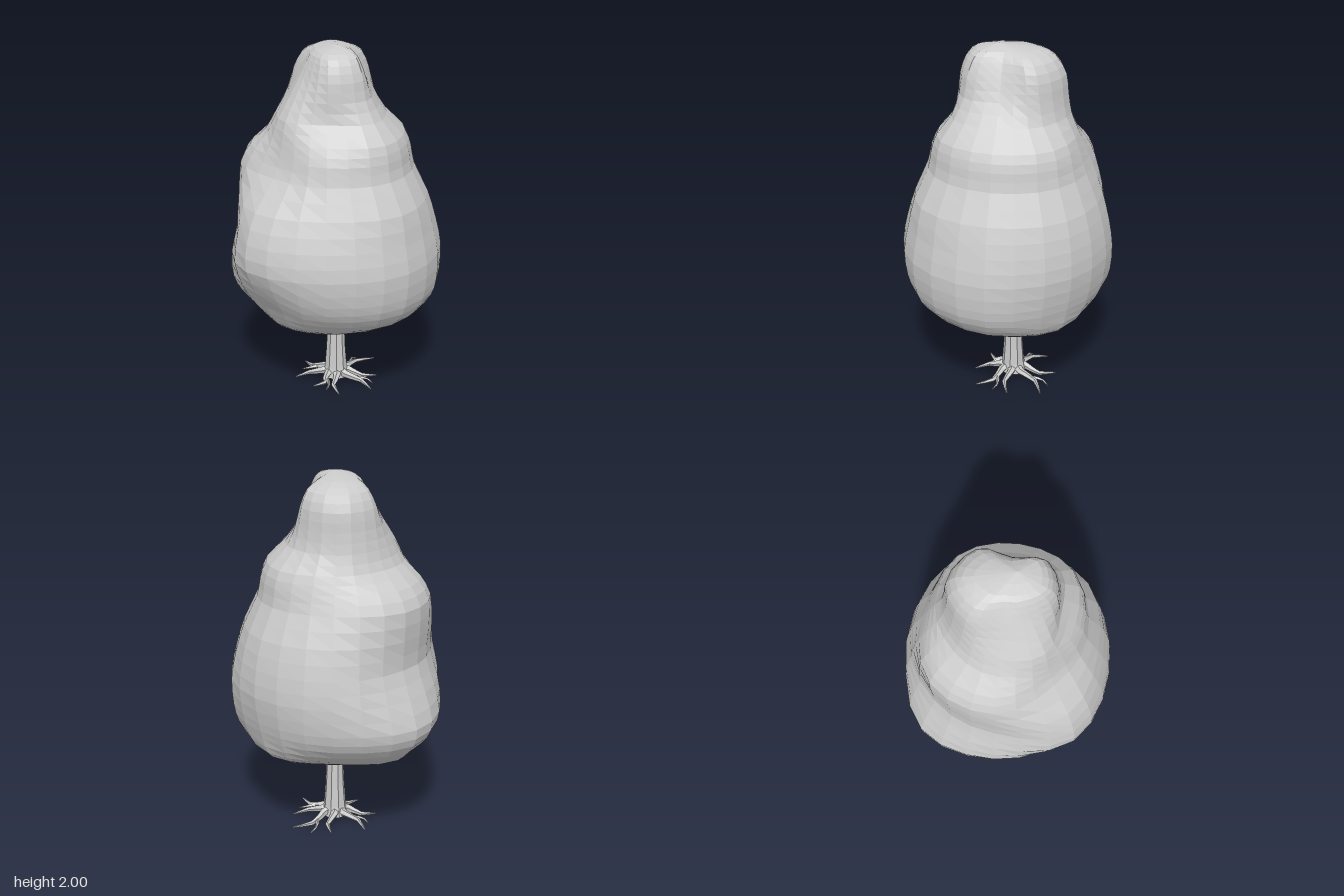
import * as THREE from 'three';

const material = new THREE.MeshStandardMaterial({ color: 0xcccccc, flatShading: true, side: THREE.DoubleSide });

// Crown cross-sections: height, then the radius every 45 degrees from +x towards +z
const LEVELS = [
  [0.447, 0.27, 0.27, 0.25, 0.25, 0.25, 0.2, 0.28, 0.25],
  [0.47, 0.44, 0.4, 0.37, 0.35, 0.36, 0.3, 0.42, 0.36],
  [0.53, 0.52, 0.52, 0.49, 0.43, 0.415, 0.4, 0.51, 0.46],
  [0.62, 0.552, 0.59, 0.565, 0.505, 0.465, 0.51, 0.588, 0.54],
  [0.72, 0.578, 0.615, 0.597, 0.55, 0.53, 0.55, 0.612, 0.575],
  [0.87, 0.6, 0.618, 0.608, 0.573, 0.602, 0.53, 0.555, 0.582],
  [1.02, 0.588, 0.587, 0.58, 0.547, 0.593, 0.488, 0.497, 0.56],
  [1.18, 0.548, 0.537, 0.548, 0.49, 0.53, 0.492, 0.505, 0.52],
  [1.34, 0.472, 0.46, 0.462, 0.42, 0.398, 0.48, 0.508, 0.46],
  [1.44, 0.455, 0.44, 0.445, 0.395, 0.357, 0.425, 0.445, 0.42],
  [1.53, 0.423, 0.405, 0.42, 0.35, 0.337, 0.34, 0.34, 0.38],
  [1.63, 0.325, 0.305, 0.337, 0.27, 0.312, 0.285, 0.3, 0.34],
  [1.74, 0.292, 0.23, 0.275, 0.257, 0.245, 0.22, 0.275, 0.322],
  [1.84, 0.275, 0.185, 0.255, 0.245, 0.185, 0.17, 0.255, 0.31],
  [1.925, 0.235, 0.145, 0.222, 0.215, 0.14, 0.12, 0.205, 0.26],
  [1.973, 0.14, 0.105, 0.175, 0.16, 0.095, 0.075, 0.11, 0.17],
];

function add(group, name, geometry) {
  const mesh = new THREE.Mesh(geometry, material);
  mesh.name = name;
  group.add(mesh);
}

// Rounds the cross-sections with closed splines, then runs a spline up each column between two poles
function crownGeometry(sides = 24) {
  const rings = LEVELS.map(([y, ...radii]) => new THREE.CatmullRomCurve3(radii.map((r, i) => {
    const a = (i * Math.PI) / 4;
    return new THREE.Vector3(r * Math.cos(a), y, r * Math.sin(a));
  }), true, 'catmullrom', 0.55).getPoints(sides).slice(0, sides));
  const bottom = new THREE.Vector3(0.04, 0.47, 0), top = new THREE.Vector3(0, 2, 0.06);
  const rows = 2 * (rings.length + 1);
  const columns = rings[0].map((_, i) => new THREE.CatmullRomCurve3(
    [bottom, ...rings.map((ring) => ring[i]), top], false, 'catmullrom', 0.45).getPoints(rows));

  const index = [], step = rows + 1;
  for (let i = 0; i < sides; i++) {
    for (let r = 0; r < rows; r++) {
      const a = i * step + r, b = ((i + 1) % sides) * step + r;
      if (r < rows - 1) index.push(a, a + 1, b + 1);
      if (r > 0) index.push(a, b + 1, b);
      if (r === rows - 1) continue;
    }
  }
  const g = new THREE.BufferGeometry().setFromPoints(columns.flat());
  g.setIndex(index);
  g.computeVertexNormals();
  return g;
}

// Tube along a curve, tapering from r0 to r1
function limbGeometry(points, r0, r1, sides, steps) {
  const curve = new THREE.CatmullRomCurve3(points.map((p) => new THREE.Vector3(...p)));
  const g = new THREE.TubeGeometry(curve, steps, 1, sides);
  const p = g.attributes.position, v = new THREE.Vector3();
  for (let i = 0; i < p.count; i++) {
    const t = Math.floor(i / (sides + 1)) / steps;
    const c = curve.getPointAt(t);
    v.fromBufferAttribute(p, i).sub(c).multiplyScalar(r0 + (r1 - r0) * t).add(c);
    p.setXYZ(i, v.x, v.y, v.z);
  }
  g.computeVertexNormals();
  return g;
}

export function createModel() {
  const tree = new THREE.Group();
  tree.name = 'tree';
  add(tree, 'crown', crownGeometry());

  // Trunk with a slight flare at the foot
  const trunk = new THREE.LatheGeometry(
    [[0.075, 0.02], [0.064, 0.08], [0.055, 0.2], [0.048, 0.36], [0.045, 0.5]].map(([r, y]) => new THREE.Vector2(r, y)), 9);
  trunk.translate(0.052, 0, 0);
  add(tree, 'trunk', trunk);

  // Branch reaching into the crown
  add(tree, 'branch', limbGeometry([[0.055, 0.36, 0.01], [0.1, 0.415, 0.06], [0.165, 0.48, 0.125]], 0.036, 0.02, 6, 4));

  // Roots, every other one forked: direction in degrees from +x towards +z, reach, tip height
  const roots = [[3, 0.3, 0.018], [42, 0.24, 0.006], [85, 0.27, 0.018], [128, 0.22, 0.006],
    [172, 0.2, 0.025], [218, 0.23, 0.01], [268, 0.25, 0.006], [315, 0.25, 0.02]];
  roots.forEach(([deg, reach, tip], i) => {
    const a = THREE.MathUtils.degToRad(deg), bend = i % 2 ? 0.2 : -0.2;
    const at = (r, turn, y) => [0.05 + r * Math.cos(a + turn), y, r * Math.sin(a + turn)];
    add(tree, 'root', limbGeometry(
      [at(0.03, 0, 0.06), at(0.09, 0, 0.042), at(reach * 0.6, bend, 0.026), at(reach, 0, tip)], 0.026, 0.004, 5, 5));
    if (i % 2 === 0) add(tree, 'rootFork', limbGeometry(
      [at(reach * 0.5, bend * 0.8, 0.03), at(reach * 0.68, bend * 2, 0.022), at(reach * 0.85, bend * 1.8, 0.003)], 0.013, 0.003, 4, 3));
  });
  return tree;
}
